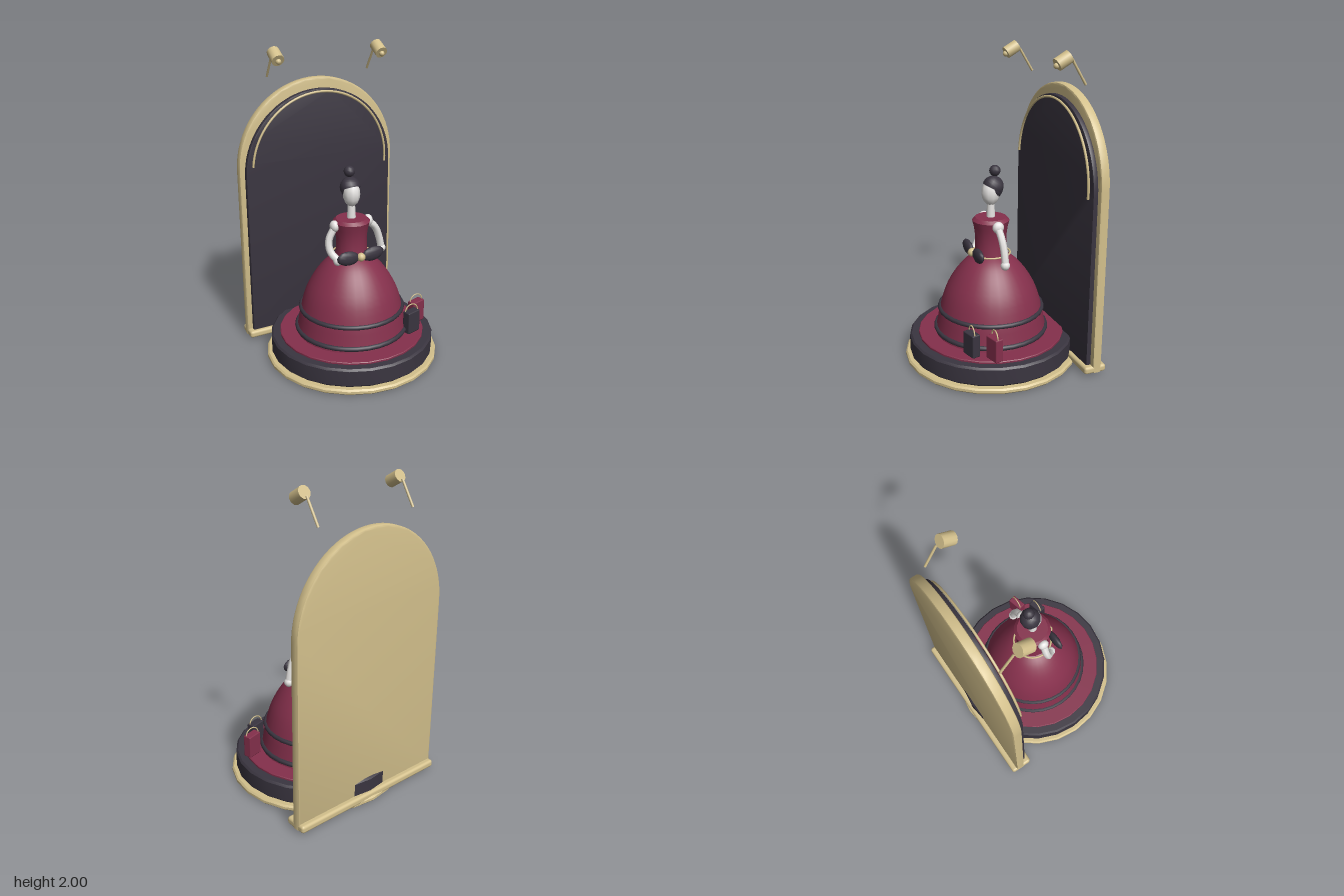
import * as THREE from 'three';
import { RoundedBoxGeometry } from 'three/addons/geometries/RoundedBoxGeometry.js';
import { toCreasedNormals } from 'three/addons/utils/BufferGeometryUtils.js';

const mat = (color) => new THREE.MeshStandardMaterial({ color });
const gold = mat(0xd3c08c), dark = mat(0x3a3540), wine = mat(0x85304c), white = mat(0xe6e4e2);
const V = (x, y, z) => new THREE.Vector3(x, y, z);

export function createModel() {
  const model = new THREE.Group();

  const add = (name, geometry, material, x = 0, y = 0, z = 0, parent = model) => {
    const mesh = new THREE.Mesh(geometry, material);
    mesh.name = name;
    mesh.position.set(x, y, z);
    parent.add(mesh);
    return mesh;
  };
  const lathe = (points, segments) =>
    new THREE.LatheGeometry(points.map(([r, y]) => new THREE.Vector2(r, y)), segments);
  const ball = (name, r, material, x, y, z, parent) =>
    add(name, new THREE.SphereGeometry(r, 10, 8), material, x, y, z, parent);
  const ring = (name, r, tube, y, material) => {
    add(name, new THREE.TorusGeometry(r, tube, 8, 32), material, 0, y, 0).rotation.x = Math.PI / 2;
  };
  const tube = (name, points, r, sides, material, parent) =>
    add(name, new THREE.TubeGeometry(new THREE.CatmullRomCurve3(points), 12, r, sides), material, 0, 0, 0, parent);

  // Round plinth: gold foot, dark drum, wine carpet
  const disc = (name, r, y0, y1, bevel, material) => add(name, toCreasedNormals(lathe([
    [0, y0], [r - bevel, y0], [r, y0 + bevel], [r, y1 - bevel], [r - bevel, y1], [0, y1],
  ], 24), 0.6), material);
  disc('plinthFoot', 0.566, 0, 0.036, 0.01, gold);
  disc('plinthDrum', 0.536, 0.036, 0.16, 0.012, dark);
  disc('carpet', 0.477, 0.15, 0.174, 0.004, wine);

  // Arched backdrop
  const arch = (name, half, y0, yc, z0, z1, bevel, material) => {
    const h = half - bevel;
    const shape = new THREE.Shape();
    shape.moveTo(-h, y0 + bevel);
    shape.lineTo(h, y0 + bevel);
    shape.lineTo(h, yc);
    shape.absarc(0, yc, h, 0, Math.PI, false);
    shape.closePath();
    const geometry = new THREE.ExtrudeGeometry(shape, {
      depth: z1 - z0 - 2 * bevel, bevelEnabled: true, bevelSize: bevel,
      bevelThickness: bevel, bevelSegments: 2, curveSegments: 20,
    });
    add(name, toCreasedNormals(geometry, 0.6), material, 0, 0, z0 + bevel);
  };
  arch('archFrame', 0.565, 0.02, 1.2, -0.52, -0.46, 0.012, gold);
  arch('archPanel', 0.53, 0.05, 1.165, -0.465, -0.43, 0.006, dark);
  add('archFoot', new RoundedBoxGeometry(1.13, 0.05, 0.15, 2, 0.018), gold, 0, 0.04, -0.48);
  const trim = add('archTrim', new THREE.TorusGeometry(0.488, 0.008, 6, 40, Math.PI), gold, 0, 1.19, -0.418);
  trim.rotation.z = -0.09;

  // Gown
  const skirtCurve = new THREE.SplineCurve([
    [0.365, 0.174], [0.35, 0.25], [0.332, 0.34], [0.295, 0.46], [0.24, 0.56], [0.185, 0.63], [0.14, 0.67], [0.1, 0.695],
  ].map(([r, y]) => new THREE.Vector2(r, y)));
  add('skirt', new THREE.LatheGeometry(skirtCurve.getPoints(20), 32), wine);
  ring('skirtUpperBand', 0.334, 0.015, 0.335, dark);
  ring('skirtLowerBand', 0.36, 0.016, 0.2, dark);
  add('bodice', toCreasedNormals(lathe([
    [0.11, 0.68], [0.1, 0.75], [0.1, 0.82], [0.108, 0.88], [0.12, 0.925], [0.1, 0.945], [0, 0.947],
  ], 16), 0.7), wine);
  ring('belt', 0.125, 0.006, 0.705, gold);

  // Waist bow
  for (const s of [-1, 1]) {
    const loop = ball('bowLoop', 1, dark, s * 0.088, 0.725, 0.122);
    loop.scale.set(0.08, 0.047, 0.025);
    loop.rotation.z = s * 0.12;
  }
  ball('bowKnot', 0.028, gold, 0, 0.72, 0.13);

  // Head, hair and neck
  add('neck', new THREE.CylinderGeometry(0.024, 0.029, 0.09, 10), white, 0, 0.985, 0);
  ball('head', 1, white, 0, 1.105, 0).scale.set(0.055, 0.085, 0.06);
  const cap = add('hair', new THREE.SphereGeometry(0.067, 10, 8, 0, Math.PI * 2, 0, Math.PI * 0.56),
    new THREE.MeshStandardMaterial({ color: 0x3a3540, side: THREE.DoubleSide }), 0, 1.143, -0.016);
  cap.rotation.x = -0.5;
  ball('hairBack', 1, dark, 0, 1.13, -0.027).scale.set(0.058, 0.065, 0.053);
  ball('hairBun', 0.036, dark, 0, 1.243, -0.028);

  // Arms: one bent to the waist, one hanging outward
  const arms = {
    rightArm: [V(-0.122, 0.9, 0), V(-0.162, 0.82, 0), V(-0.162, 0.75, 0.02), V(-0.13, 0.695, 0.06)],
    leftArm: [V(0.122, 0.9, 0), V(0.175, 0.85, 0), V(0.208, 0.77, -0.004), V(0.225, 0.695, -0.004)],
  };
  for (const [name, path] of Object.entries(arms)) {
    const arm = new THREE.Group();
    arm.name = name;
    model.add(arm);
    tube('sleeve', path, 0.024, 7, white, arm);
    ball('shoulder', 1, white, path[0].x, 0.907, 0, arm).scale.set(0.029, 0.038, 0.038);
    ball('hand', 0.03, white, path[3].x, path[3].y - 0.003, path[3].z, arm);
  }

  // Handbags
  for (const [name, x, z, material] of [['darkBag', 0.31, 0.255, dark], ['wineBag', 0.416, 0.147, wine]]) {
    const bag = new THREE.Group();
    bag.name = name;
    bag.position.set(x, 0.174, z);
    model.add(bag);
    add('bagBody', new RoundedBoxGeometry(0.105, 0.15, 0.056, 1, 0.007), material, 0, 0.075, 0, bag)
      .rotation.y = 0.25;
    add('bagHandle', new THREE.TorusGeometry(0.046, 0.004, 6, 16, Math.PI), gold, 0, 0.148, -0.002, bag);
  }

  // Spotlights above the arch
  for (const s of [-1, 1]) {
    const lamp = new THREE.Group();
    lamp.name = 'spotlight';
    lamp.position.x = s * 0.358;
    model.add(lamp);
    tube('lampRod', [V(0, 1.8, -0.447), V(0, 1.875, -0.4), V(0, 1.95, -0.353)], 0.008, 6, gold, lamp);
    add('lampHead', toCreasedNormals(new THREE.CylinderGeometry(0.04, 0.04, 0.09, 12), 0.7), gold, 0, 1.945, -0.295, lamp)
      .rotation.x = -Math.PI / 3;
    ball('lampBulb', 0.018, gold, 0, 1.917, -0.253, lamp);
  }
  return model;
}
